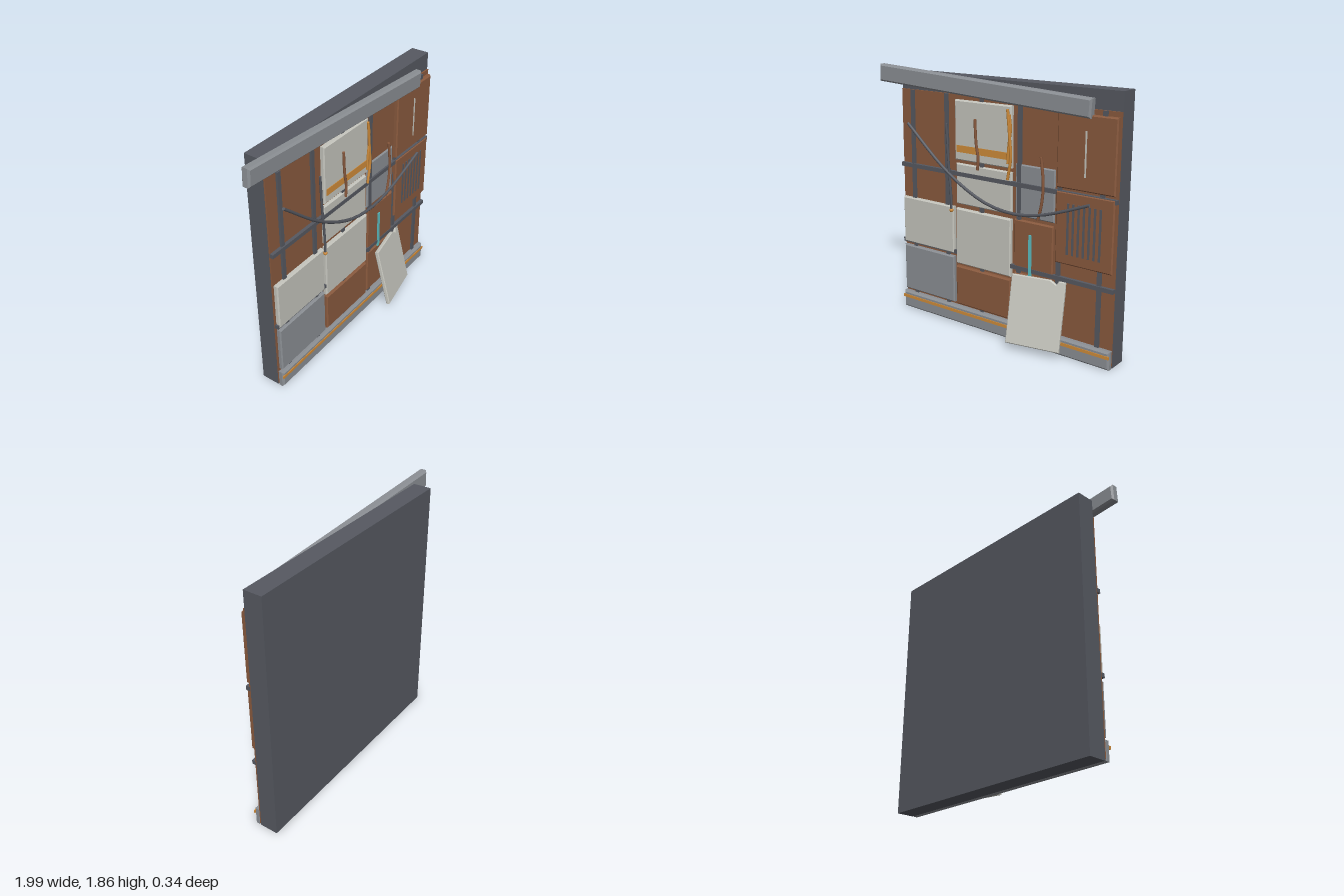
import * as THREE from 'three';

const mat = (name, color) => Object.assign(new THREE.MeshStandardMaterial({ color }), { name });

export function createModel() {
  const M = {
    slate: mat('dark slate', 0x565961),
    rust: mat('rust brown', 0x8a5a3e),
    pale: mat('pale panel', 0xc5c5bd),
    steel: mat('steel grey', 0x8b8f94),
    orange: mat('orange', 0xd08c3a),
    cyan: mat('cyan glow', 0x5cc0c4),
  };
  const root = new THREE.Group();
  root.name = 'damagedWallPanel';

  const add = (name, geo, m, x = 0, y = 0, z = 0) => {
    const mesh = new THREE.Mesh(geo, m);
    mesh.name = name;
    mesh.position.set(x, y, z);
    root.add(mesh);
    return mesh;
  };
  // Plain box from its limits
  const box = (name, m, x0, x1, y0, y1, z0, z1) =>
    add(name, new THREE.BoxGeometry(x1 - x0, y1 - y0, z1 - z0), m, (x0 + x1) / 2, (y0 + y1) / 2, (z0 + z1) / 2);
  // Chamfered plate centred on its own origin; outline is given already inset by the chamfer
  const plate = (pts, t, b) => {
    const shape = new THREE.Shape(pts.map(([x, y]) => new THREE.Vector2(x, y)));
    const g = new THREE.ExtrudeGeometry(shape, { depth: t - 2 * b, bevelEnabled: true, bevelSize: b, bevelThickness: b, bevelSegments: 1 });
    return g.translate(0, 0, b - t / 2);
  };
  const rectPlate = (w, h, t, b) => {
    const x = w / 2 - b, y = h / 2 - b;
    return plate([[-x, -y], [x, -y], [x, y], [-x, y]], t, b);
  };
  const panel = (name, m, x0, x1, y0, y1, front) =>
    add(name, rectPlate(x1 - x0, y1 - y0, front + 0.032, 0.008), m, (x0 + x1) / 2, (y0 + y1) / 2, (front - 0.032) / 2);

  // Wall slab and rust-coloured backing
  box('wallSlab', M.slate, -0.815, 0.995, 0, 1.815, -0.168, -0.035);
  box('backing', M.rust, -0.813, 0.993, 0.01, 1.69, -0.035, -0.024);

  // Grid of conduits
  for (const x of [-0.704, -0.384, -0.07, 0.25, 0.57, 0.885])
    box('verticalConduit', M.slate, x - 0.015, x + 0.015, 0.13, 1.69, -0.028, -0.009);
  for (const y of [1.132, 0.544])
    box('horizontalConduit', M.slate, -0.815, 0.995, y - 0.015, y + 0.015, -0.028, 0);

  // Cover panels
  const high = 0.006, mid = -0.004, low = -0.013;
  [
    [M.pale, -0.803, -0.315, 0.533, 0.885, high],
    [M.steel, -0.803, -0.315, 0.15, 0.507, high],
    [M.pale, -0.293, 0.192, 1.235, 1.657, high],
    [M.pale, -0.293, 0.192, 0.912, 1.208, mid],
    [M.pale, -0.293, 0.192, 0.464, 0.88, high],
    [M.rust, -0.293, 0.192, 0.147, 0.443, high],
    [M.steel, 0.217, 0.533, 0.912, 1.272, low],
    [M.rust, 0.217, 0.533, 0.53, 0.89, mid],
    [M.rust, 0.217, 0.533, 0.147, 0.507, mid],
    [M.rust, 0.555, 0.985, 1.167, 1.657, high],
    [M.rust, 0.555, 0.985, 0.656, 1.145, high],
  ].forEach(([m, ...r]) => panel('coverPanel', m, ...r));

  // Panel details
  box('panelStripe', M.orange, -0.275, 0.17, 1.293, 1.342, 0.004, 0.01);
  box('lightStrip', M.cyan, 0.341, 0.364, 0.5, 0.8, -0.006, 0.003);
  box('handleSlit', M.pale, 0.764, 0.774, 1.259, 1.557, 0.004, 0.011);
  for (let i = 0; i < 7; i++) {
    const x = 0.651 + i * 0.04;
    box('ventSlat', M.slate, x - 0.007, x + 0.007, 0.727, 1.073, 0.003, 0.012);
  }

  // Bottom rail with stripe
  add('bottomRail', rectPlate(1.81, 0.13, 0.052, 0.013), M.steel, 0.09, 0.065, -0.01);
  box('railStripe', M.orange, -0.815, 0.995, 0.08, 0.102, 0.012, 0.021);

  // Loosened top beam
  const beam = add('topBeam', rectPlate(1.8, 0.125, 0.062, 0.012), M.steel, -0.092, 1.748, -0.002);
  beam.rotation.set(0, -0.004, -0.055);

  // Fallen panel with a notch broken from its top edge
  const fallen = add('fallenPanel', plate([
    [-0.19, -0.234], [0.19, -0.234], [0.19, 0.234], [0.15, 0.234],
    [0.135, 0.206], [0.085, 0.234], [-0.19, 0.234],
  ], 0.03, 0.006), M.pale, 0.452, 0.286, 0.066);
  fallen.rotation.set(-0.225, 0.2, 0, 'YXZ');

  // Hanging cables
  const cable = (name, m, r, z, pts) => {
    const curve = new THREE.CatmullRomCurve3(pts.map(([x, y]) => new THREE.Vector3(x, y, z)));
    add(name, new THREE.TubeGeometry(curve, 20, r, 6), m);
    // Closed ends
    for (const t of [0, 1]) {
      const cap = add(name + 'End', new THREE.CircleGeometry(r, 6), m);
      const p = curve.getPoint(t);
      cap.position.copy(p);
      cap.lookAt(p.clone().addScaledVector(curve.getTangent(t), t ? 1 : -1));
    }
  };
  cable('longCable', M.slate, 0.011, 0.024, [[-0.72, 1.45], [-0.39, 1.168], [-0.15, 1.024], [0.037, 0.955],
    [0.25, 0.933], [0.437, 0.96], [0.624, 1.019], [0.815, 1.092]]);
  cable('sparkCable', M.slate, 0.009, 0.02, [[-0.355, 1.487], [-0.343, 1.243], [-0.322, 0.976], [-0.32, 0.87]]);
  cable('brownCable', M.rust, 0.01, 0.018, [[-0.103, 1.54], [-0.093, 1.376], [-0.076, 1.27], [-0.082, 1.19]]);
  cable('brownCable', M.rust, 0.01, 0.012, [[0.44, 1.35], [0.459, 1.163], [0.448, 1.03], [0.42, 0.917]]);
  cable('orangeCable', M.orange, 0.01, 0.018, [[0.172, 1.635], [0.19, 1.45], [0.2, 1.31], [0.175, 1.16]]);
  cable('orangeCable', M.orange, 0.009, 0.014, [[0.185, 1.6], [0.195, 1.5], [0.18, 1.39], [0.172, 1.27]]);
  add('cableTip', new THREE.SphereGeometry(0.015, 10, 8), M.orange, -0.32, 0.862, 0.02);

  return root;
}
